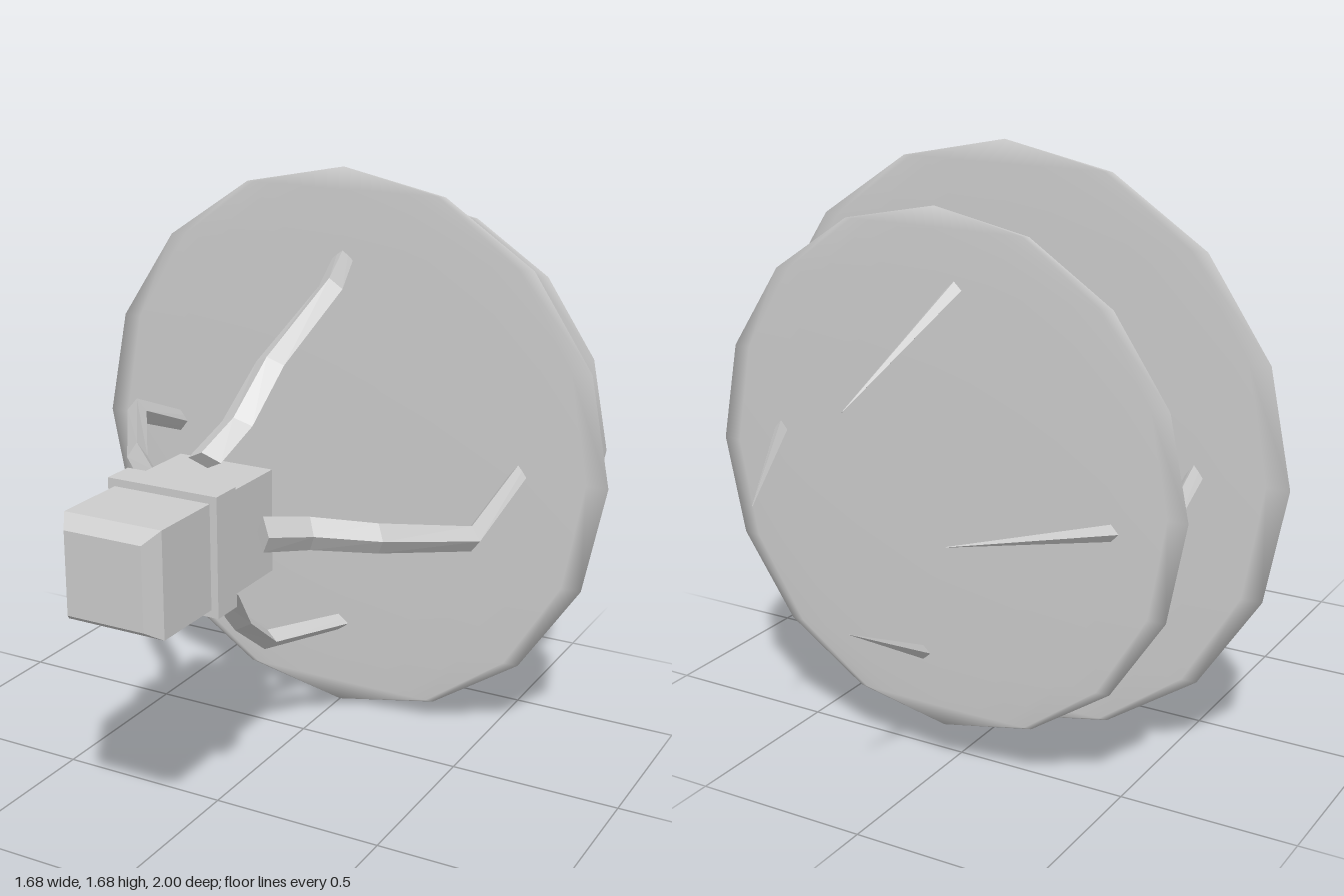
import * as THREE from 'three';

const CENTRE_Y = 0.84;

// Joins closed four-point rings (front to back, anticlockwise from the front) into a solid.
function loft(rings) {
  const pos = [];
  const tri = (...pts) => pts.forEach((p) => pos.push(p.x, p.y, p.z));
  for (let k = 0; k < rings.length - 1; k++) {
    const r0 = rings[k], r1 = rings[k + 1], n = r0.length;
    for (let i = 0; i < n; i++) {
      const j = (i + 1) % n;
      tri(r0[i], r1[i], r1[j]);
      tri(r1[j], r0[j], r0[i]);
    }
  }
  const f = rings[0], b = rings[rings.length - 1];
  for (let i = 1; i < f.length - 1; i++) {
    tri(f[0], f[i], f[i + 1]);
    tri(b[0], b[i + 1], b[i]);
  }
  const geo = new THREE.BufferGeometry();
  geo.setAttribute('position', new THREE.Float32BufferAttribute(pos, 3));
  geo.computeVertexNormals();
  return geo;
}

// Square ring facing z, with half-size s.
const squareRing = (z, s) =>
  [[s, -s], [s, s], [-s, s], [-s, -s]].map(([x, y]) => new THREE.Vector3(x, y, z));

// Kinked prong with a diamond section that tapers to a point.
function prongGeometry() {
  // x, radius from the axis, z, half-width, half-height
  const stations = [
    [0.0, 0.175, 0.535, 0.05, 0.029],
    [0.025, 0.245, 0.41, 0.047, 0.029],
    [0.055, 0.385, 0.285, 0.043, 0.029],
    [0.107, 0.55, 0.04, 0.037, 0.03],
    [-0.08, 0.59, -0.445, 0.031, 0.025],
    [0.0, 0.285, -1.0, 0.0008, 0.0008],
  ];
  const at = (i) => stations[Math.min(Math.max(i, 0), stations.length - 1)];
  const rings = stations.map(([x, y, z, w, h], i) => {
    const a = at(i - 1), b = at(i + 1);
    const up = new THREE.Vector2(a[2] - b[2], b[1] - a[1]).normalize().multiplyScalar(h);
    return [
      new THREE.Vector3(x + w, y, z),
      new THREE.Vector3(x, y + up.x, z + up.y),
      new THREE.Vector3(x - w, y, z),
      new THREE.Vector3(x, y - up.x, z - up.y),
    ];
  });
  return loft(rings);
}

export function createModel() {
  const model = new THREE.Group();
  model.name = 'prongedDish';
  const grey = new THREE.MeshStandardMaterial({ color: 0xcccccc });
  grey.name = 'light grey';

  const add = (name, geometry) => {
    const mesh = new THREE.Mesh(geometry, grey);
    mesh.name = name;
    mesh.position.y = CENTRE_Y;
    model.add(mesh);
    return mesh;
  };

  // Square hub with chamfered ends
  add('hub', loft([
    squareRing(1.0, 0.112),
    squareRing(0.955, 0.142),
    squareRing(0.43, 0.142),
    squareRing(0.385, 0.112),
  ]));

  // Collar around the hub
  add('collar', new THREE.BoxGeometry(0.325, 0.325, 0.09)).position.z = 0.695;

  // Four prongs around the hub axis
  const prong = prongGeometry();
  ['topProng', 'rightProng', 'bottomProng', 'leftProng'].forEach((name, i) => {
    add(name, prong).rotation.z = i * Math.PI / 2;
  });

  // Two thin lens-shaped discs
  for (const [name, radius, z] of [['frontDisc', 0.84, -0.24], ['rearDisc', 0.715, -0.585]]) {
    const disc = new THREE.SphereGeometry(radius, 16, 8);
    disc.scale(1, 1, 0.012 / radius);
    add(name, disc).position.z = z;
  }

  return model;
}
